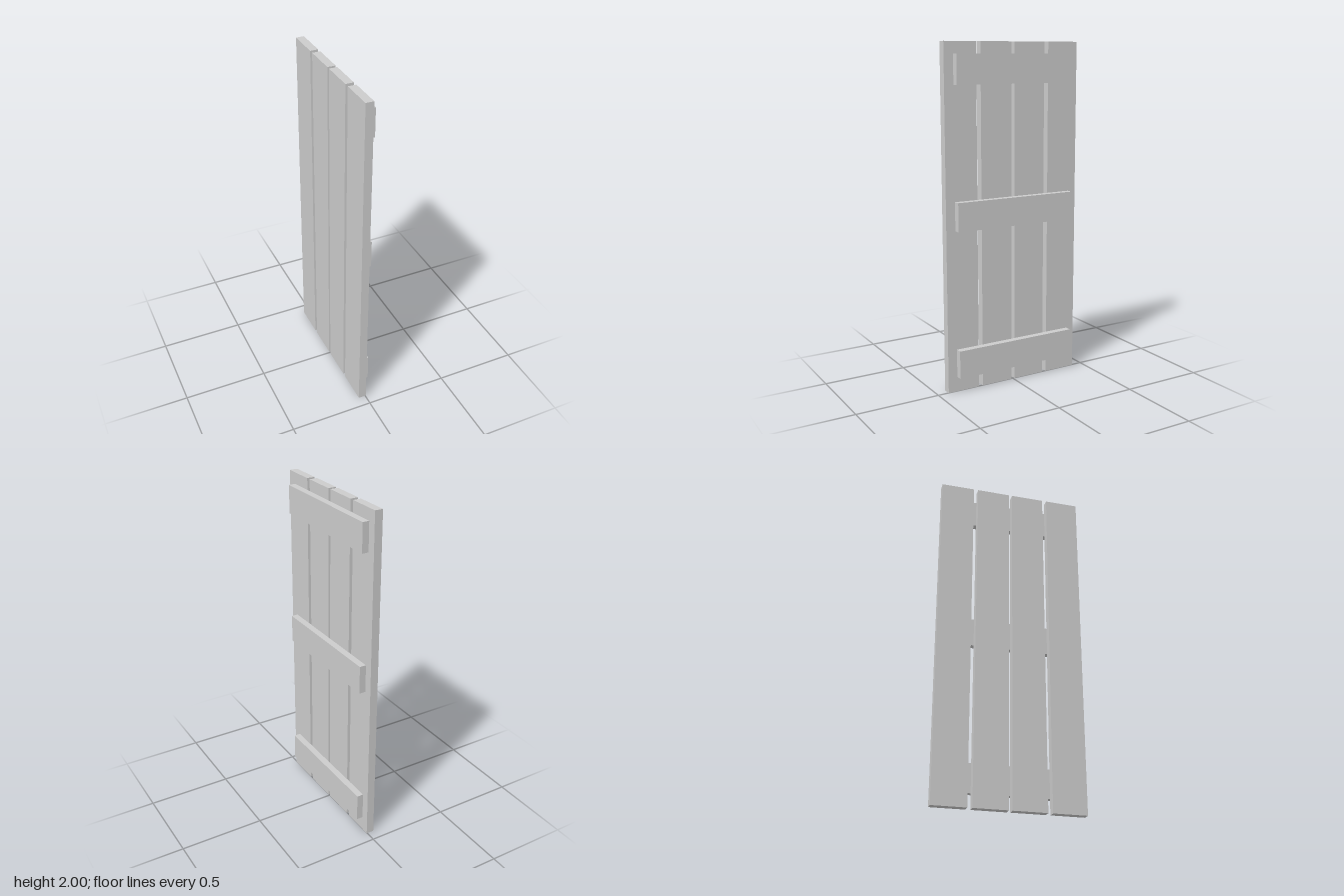
import * as THREE from 'three';

export function createModel() {
  const model = new THREE.Group();
  model.name = 'plankDoor';
  const material = new THREE.MeshStandardMaterial({ color: 0xcccccc, flatShading: true });

  // Box given by its extents along each axis
  function board(name, [x0, x1], [y0, y1], [z0, z1]) {
    const mesh = new THREE.Mesh(new THREE.BoxGeometry(x1 - x0, y1 - y0, z1 - z0), material);
    mesh.position.set((x0 + x1) / 2, (y0 + y1) / 2, (z0 + z1) / 2);
    mesh.name = name;
    model.add(mesh);
  }

  // Four upright planks with narrow gaps
  const plankWidth = 0.199;
  [-0.435, -0.209, 0.01, 0.236].forEach((z, i) =>
    board(`plank${i + 1}`, [-0.043, 0.004], [0, 2], [z, z + plankWidth]));

  // Three cross battens on the +x face
  const battenHeight = 0.166;
  ['lowerBatten', 'middleBatten', 'upperBatten'].forEach((name, i) =>
    board(name, [0.003, 0.043], [[0.089, 0.954, 1.767][i], [0.089, 0.954, 1.767][i] + battenHeight], [-0.386, 0.378]));

  return model;
}
